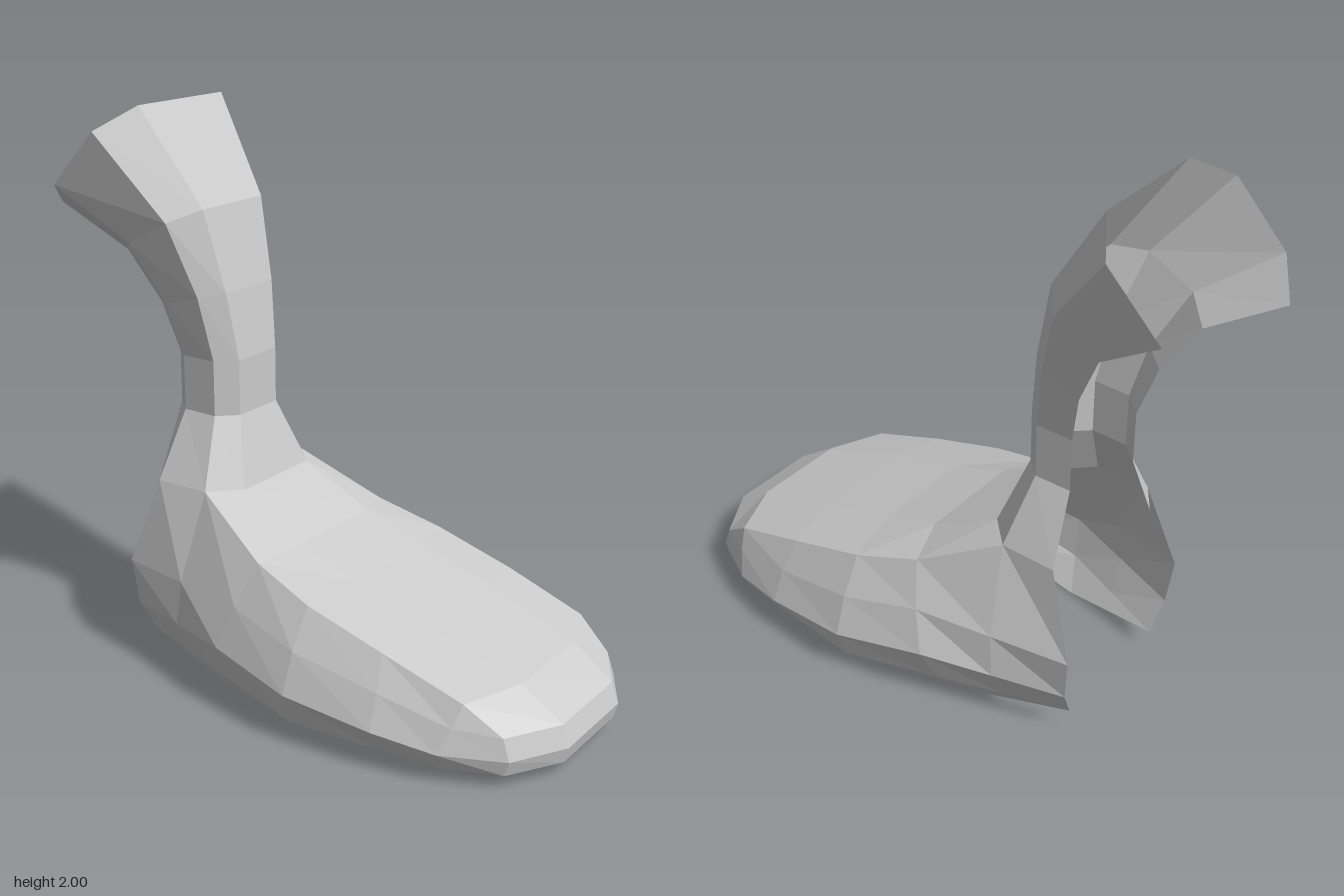
import * as THREE from 'three';

// The shape mirrors across the diagonal plane x = z.
const mirror = ([x, y, z]) => [z, y, x];
const mix = (a, b, k) => a.map((v, i) => v + (b[i] - v) * k);

// Faceted skin over neighbouring columns of points, each listed top to bottom.
function skin(name, columns) {
  const pos = [];
  for (let i = 0; i < columns.length - 1; i++) {
    for (let j = 0; j < columns[i].length - 1; j++) {
      const a = columns[i][j], b = columns[i + 1][j];
      const c = columns[i + 1][j + 1], d = columns[i][j + 1];
      for (const tri of [[a, d, c], [a, c, b]]) {
        const [p, q, r] = tri.map(v => new THREE.Vector3(...v));
        const area = q.clone().sub(p).cross(r.clone().sub(p)).length();
        if (area > 1e-6) tri.forEach(v => pos.push(...v));
      }
    }
  }
  const geometry = new THREE.BufferGeometry();
  geometry.setAttribute('position', new THREE.Float32BufferAttribute(pos, 3));
  geometry.computeVertexNormals();
  const mesh = new THREE.Mesh(geometry, new THREE.MeshStandardMaterial({
    color: 0xcccccc, flatShading: true, side: THREE.DoubleSide,
  }));
  mesh.name = name;
  return mesh;
}

export function createModel() {
  const group = new THREE.Group();
  group.name = 'bootShell';

  // Leg: edge lines running from the flared top down to the ankle
  const backLip = [[-0.89, 1.63, -0.58], [-0.67, 1.48, -0.44], [-0.56, 1.30, -0.38],
    [-0.50, 1.12, -0.36], [-0.50, 0.93, -0.36], [-0.58, 0.69, -0.325]];
  const side = [[-0.915, 1.72, -0.42], [-0.67, 1.53, -0.30], [-0.55, 1.32, -0.27],
    [-0.495, 1.13, -0.265], [-0.495, 0.93, -0.265], [-0.60, 0.69, -0.20]];
  const corner = [[-0.78, 1.92, -0.28], [-0.55, 1.62, -0.18], [-0.45, 1.36, -0.168],
    [-0.40, 1.13, -0.167], [-0.40, 0.93, -0.167], [-0.45, 0.69, -0.055]];
  const front = [[-0.62, 2.0, -0.31], [-0.42, 1.66, -0.195], [-0.35, 1.37, -0.17],
    [-0.31, 1.13, -0.165], [-0.31, 0.93, -0.165], [-0.31, 0.69, -0.055]];
  const halfLeg = [side, corner, front];
  group.add(skin('leg', [backLip, ...halfLeg,
    ...halfLeg.slice().reverse().map(col => col.map(mirror))]));

  // Instep: outer ridge and inner line from the ankle to the toe
  const ridge = [[-0.45, 0.69, -0.055], [-0.30, 0.53, 0.22], [-0.16, 0.455, 0.42],
    [0.05, 0.37, 0.63], [0.27, 0.275, 0.83]];
  const inner = [[-0.31, 0.69, -0.055], [-0.14, 0.555, 0.14], [0.02, 0.475, 0.30],
    [0.23, 0.385, 0.52], [0.48, 0.28, 0.74]];
  group.add(skin('instep', [ridge, inner, inner.map(mirror), ridge.map(mirror)]));

  // Foot wall: columns from heel to toe, ridge down to the open sole rim
  const heel = [[-0.60, 0.69, -0.20], [-0.71, 0.37, -0.24], [-0.685, 0.20, -0.24],
    [-0.63, 0.08, -0.27], [-0.63, 0.08, -0.27]];
  const waist = [ridge[1], [-0.385, 0.38, 0.235], [-0.45, 0.23, 0.23],
    [-0.43, 0.10, 0.17], [-0.40, 0, 0.07]];
  const ankle = heel.map((p, i) => i ? mix(p, waist[i], 0.5) : ridge[0]);
  const halfFoot = [heel, ankle, waist,
    [ridge[2], [-0.22, 0.32, 0.475], [-0.26, 0.18, 0.51], [-0.24, 0.07, 0.48], [-0.17, 0, 0.40]],
    [ridge[3], [0.02, 0.26, 0.69], [-0.01, 0.145, 0.73], [0.02, 0.06, 0.69], [0.09, 0, 0.58]],
    [ridge[4], [0.23, 0.20, 0.845], [0.18, 0.115, 0.85], [0.21, 0.05, 0.83], [0.24, 0, 0.72]],
    [ridge[4], [0.385, 0.18, 0.895], [0.40, 0.105, 0.915], [0.39, 0.05, 0.90], [0.30, 0, 0.79]],
    [inner[4], [0.595, 0.18, 0.84], [0.61, 0.105, 0.86], [0.60, 0.05, 0.85], [0.47, 0, 0.71]],
  ];
  group.add(skin('footWall', [...halfFoot,
    ...halfFoot.slice().reverse().map(col => col.map(mirror))]));

  return group;
}
